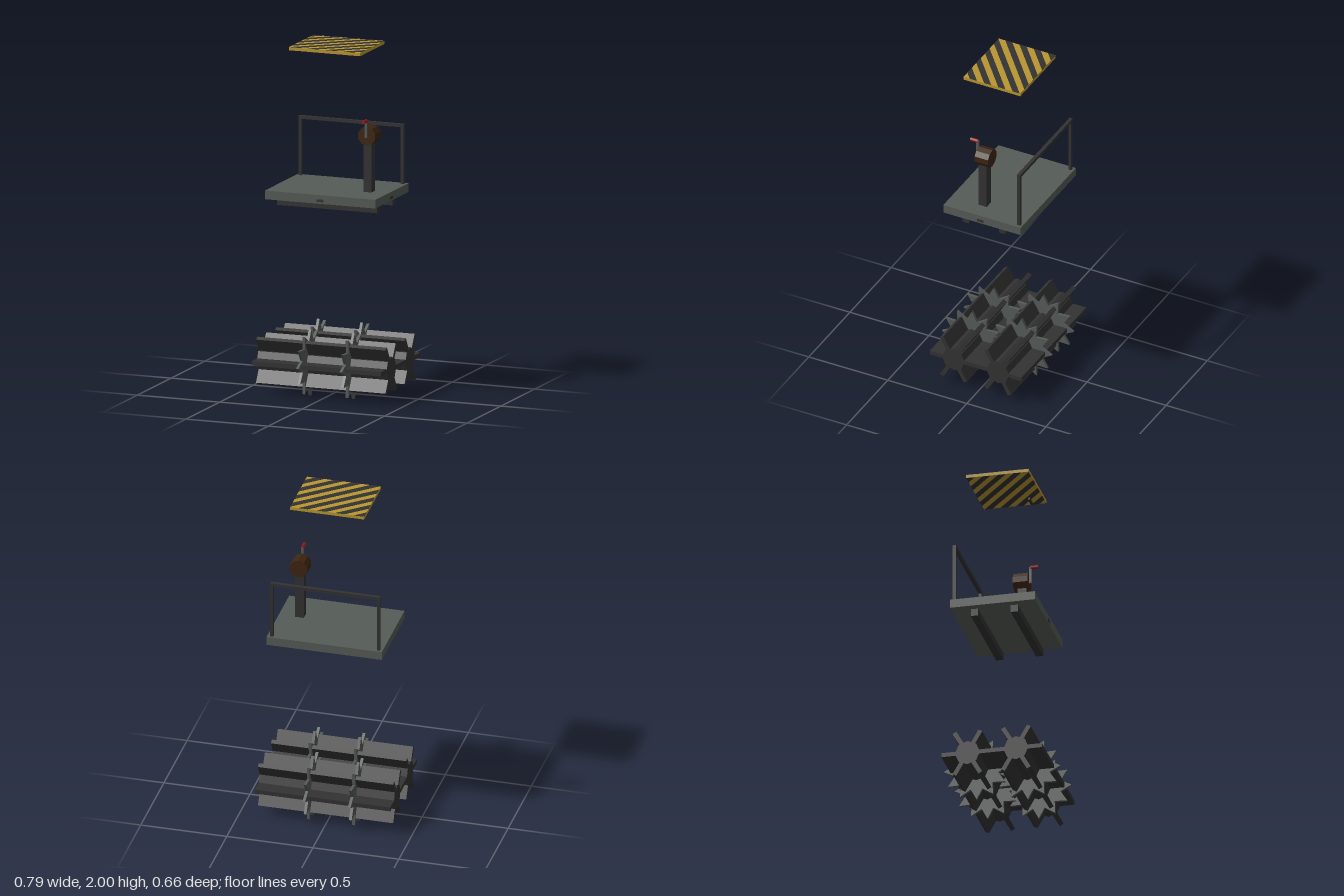
import * as THREE from 'three';

const mat = (name, color, extra = {}) => {
  const m = new THREE.MeshStandardMaterial({ color, ...extra });
  m.name = name;
  return m;
};

export function createModel() {
  const root = new THREE.Group();
  root.name = 'rollerMachine';

  const deckGrey = mat('deckGrey', 0x555b56);
  const darkSteel = mat('darkSteel', 0x323232);
  const gearGrey = mat('gearGrey', 0x555a58);
  const yellow = mat('hazardYellow', 0xb89630);
  const brown = mat('drumBrown', 0x3d2512, { flatShading: true });
  const red = mat('handleRed', 0x8e1c1c);
  const rollerSteel = mat('rollerSteel', 0x323232, { flatShading: true });

  const add = (parent, name, geo, material, x, y, z) => {
    const m = new THREE.Mesh(geo, material);
    m.name = name;
    m.position.set(x, y, z);
    parent.add(m);
    return m;
  };
  // Box given by its limits on each axis
  const box = (parent, name, material, x0, x1, y0, y1, z0, z1) =>
    add(parent, name, new THREE.BoxGeometry(x1 - x0, y1 - y0, z1 - z0), material,
      (x0 + x1) / 2, (y0 + y1) / 2, (z0 + z1) / 2);

  // Twelve-pointed toothed disc, extruded along x
  const star = new THREE.Shape();
  for (let i = 0; i < 24; i++) {
    const r = i % 2 ? 0.13 : 0.19;
    const a = (i * Math.PI) / 12;
    star[i ? 'lineTo' : 'moveTo'](r * Math.cos(a), r * Math.sin(a));
  }
  star.closePath();
  const thick = 0.016;
  const gearGeo = new THREE.ExtrudeGeometry(star, { depth: thick, bevelEnabled: false });
  gearGeo.translate(0, 0, -thick / 2).rotateY(Math.PI / 2);

  // Rollers: core, six fins and two staggered toothed discs each
  const length = 0.786;
  const coreGeo = new THREE.CylinderGeometry(0.072, 0.072, length, 8).rotateZ(Math.PI / 2);
  const finGeo = new THREE.BoxGeometry(length, 0.025, 0.15).translate(0, 0, 0.075);
  const roller = (name, z, gearXs) => {
    const g = new THREE.Group();
    g.name = name;
    g.position.set(0, 0.195, z);
    add(g, 'rollerCore', coreGeo, rollerSteel, 0, 0, 0);
    for (let i = 0; i < 6; i++) {
      add(g, 'rollerFin', finGeo, rollerSteel, 0, 0, 0).rotation.x = (i * Math.PI) / 3;
    }
    for (const x of gearXs) add(g, 'toothedDisc', gearGeo, gearGrey, x, 0, 0);
    root.add(g);
  };
  roller('frontRoller', 0.14, [-0.1, 0.163]);
  roller('backRoller', -0.14, [-0.165, 0.098]);

  // Platform with skids, rail and small front and side plates
  const platform = new THREE.Group();
  platform.name = 'platform';
  root.add(platform);
  box(platform, 'deck', deckGrey, -0.335, 0.335, 1.13, 1.18, -0.255, 0.235);
  for (const z of [0.11, -0.12]) {
    box(platform, 'skid', darkSteel, -0.305, 0.302, 1.08, 1.122, z - 0.021, z + 0.021);
  }
  for (const x of [-0.311, 0.309]) {
    box(platform, 'railPost', darkSteel, x - 0.009, x + 0.009, 1.18, 1.51, -0.242, -0.224);
  }
  box(platform, 'railBar', darkSteel, -0.32, 0.318, 1.504, 1.522, -0.243, -0.223);
  box(platform, 'frontPlate', darkSteel, -0.02, 0.02, 1.14, 1.155, 0.234, 0.237);
  box(platform, 'sidePlate', darkSteel, 0.334, 0.337, 1.14, 1.155, -0.02, 0.02);

  // Winch: column, drum, crank arm and handle
  const winch = new THREE.Group();
  winch.name = 'winch';
  root.add(winch);
  box(winch, 'column', darkSteel, 0.19, 0.24, 1.18, 1.48, 0.01, 0.06);
  add(winch, 'drum', new THREE.CylinderGeometry(0.054, 0.054, 0.085, 10).rotateX(Math.PI / 2),
    brown, 0.215, 1.503, 0.03);
  box(winch, 'crankArm', gearGrey, 0.208, 0.222, 1.495, 1.592, 0.072, 0.086);
  add(winch, 'crankHandle', new THREE.CylinderGeometry(0.011, 0.011, 0.047, 8).rotateX(Math.PI / 2),
    red, 0.215, 1.592, 0.1);

  // Canopy plate with diagonal stripes on both faces
  const canopy = new THREE.Group();
  canopy.name = 'canopy';
  root.add(canopy);
  const w = 0.43, d = 0.36, x0 = -0.215, z0 = -0.19;
  box(canopy, 'canopyPlate', yellow, x0, x0 + w, 1.981, 1.999, z0, z0 + d);
  box(canopy, 'canopyGrip', darkSteel, 0.12, 0.2, 1.968, 1.981, 0.086, 0.098);

  // Ends of the line u + v = s inside the unit square
  const ends = (s) => (s <= 1 ? [[0, s], [s, 0]] : [[s - 1, 1], [1, s - 1]]);
  const stripes = [];
  for (let k = 0; k < 8; k++) {
    const s = k / 4 + 0.0125;
    const [a, b] = ends(s);
    const [c, e] = ends(s + 0.125);
    stripes.push(new THREE.Shape([a, c, e, b].map(([u, v]) =>
      new THREE.Vector2(x0 + u * w, -(z0 + v * d)))));
  }
  const stripeGeo = new THREE.ExtrudeGeometry(stripes, { depth: 0.001, bevelEnabled: false });
  stripeGeo.rotateX(-Math.PI / 2);
  add(canopy, 'topStripes', stripeGeo, darkSteel, 0, 1.999, 0);
  add(canopy, 'undersideStripes', stripeGeo, darkSteel, 0, 1.98, 0);

  return root;
}
